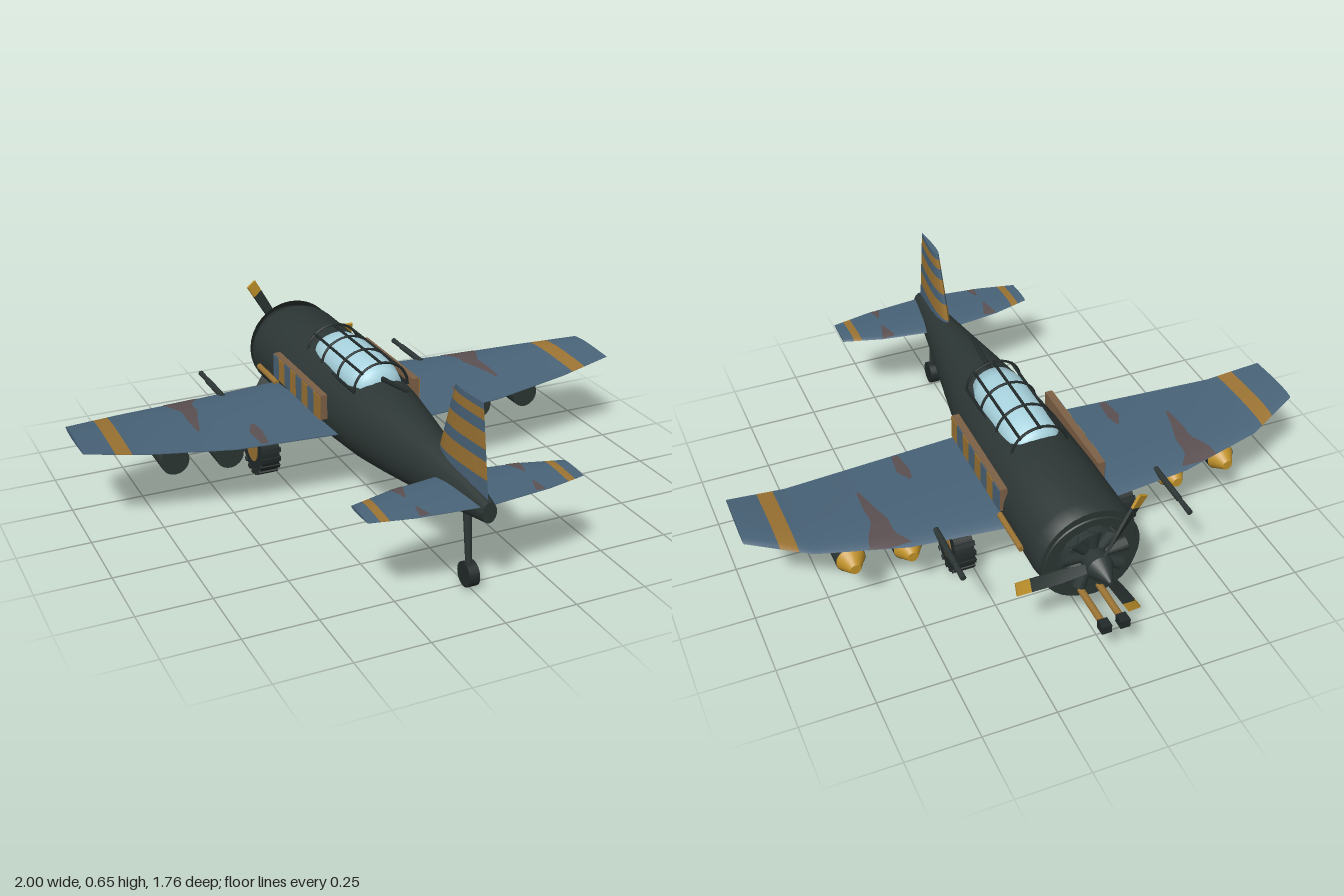
import * as THREE from 'three';
import { toCreasedNormals } from 'three/addons/utils/BufferGeometryUtils.js';

const mat = (name, color, extra = {}) => new THREE.MeshStandardMaterial({ name, color, ...extra });
const M = {
  dark: mat('dark hull', 0x2c3634),
  black: mat('black rubber', 0x222a29),
  blue: mat('slate blue', 0x496378),
  orange: mat('ochre stripe', 0x9b7333),
  yellow: mat('warning yellow', 0xc0922a),
  brown: mat('camouflage brown', 0x5b5052, { side: THREE.DoubleSide }),
  wood: mat('copper brown', 0x7d6046),
  glass: mat('pale glass', 0xa8d3df),
};

// Skin a closed solid over rings of [x, y, z]; the winding follows the signed volume
function loft(rings, crease = 0.7) {
  const n = rings[0].length, pos = rings.flat(2), idx = [];
  for (let r = 0; r < rings.length - 1; r++)
    for (let i = 0; i < n; i++) {
      const a = r * n + i, b = r * n + (i + 1) % n;
      idx.push(a, b, b + n, a, b + n, a + n);
    }
  [0, rings.length - 1].forEach((r) => {
    const c = pos.length / 3;
    for (let k = 0; k < 3; k++) pos.push(rings[r].reduce((s, p) => s + p[k], 0) / n);
    for (let i = 0; i < n; i++) {
      const a = r * n + i, b = r * n + (i + 1) % n;
      r ? idx.push(a, b, c) : idx.push(b, a, c);
    }
  });
  const v = (i) => new THREE.Vector3(pos[3 * i], pos[3 * i + 1], pos[3 * i + 2]);
  let volume = 0;
  for (let i = 0; i < idx.length; i += 3) volume += v(idx[i]).dot(v(idx[i + 1]).cross(v(idx[i + 2])));
  if (volume < 0) idx.reverse();
  const g = new THREE.BufferGeometry();
  g.setAttribute('position', new THREE.Float32BufferAttribute(pos, 3));
  g.setIndex(idx);
  return toCreasedNormals(g, crease);
}

// Elliptical sections: [z, top y, bottom y, half width]
const ellipses = (rows, n = 32) => rows.map(([z, top, bot, rx]) => Array.from({ length: n }, (_, i) => {
  const a = i / n * Math.PI * 2;
  return [Math.cos(a) * rx, (top + bot) / 2 + Math.sin(a) * (top - bot) / 2, z];
}));

// Aerofoil stations: [span, leading z, trailing z, centre, thickness]
const WING = [[0.1, -0.44, 0.085, 0.261, 0.05], [0.5, -0.4, 0.055, 0.264, 0.034],
  [0.8, -0.335, 0.01, 0.286, 0.025], [1, -0.24, -0.01, 0.32, 0.02]];
const TAIL = [[0.02, 0.625, 0.867, 0.332, 0.024], [0.23, 0.655, 0.845, 0.332, 0.018], [0.37, 0.695, 0.815, 0.332, 0.012]];
const FIN = [[0.31, 0.523, 0.872, 0, 0.045], [0.65, 0.65, 0.82, 0, 0.02]];
const FOIL = [[0, 0], [0.03, 0.4], [0.1, 0.75], [0.28, 1], [0.5, 0.88], [0.75, 0.52], [1, 0.08]];

function sample(table, s) {
  let i = 0;
  while (i < table.length - 2 && s > table[i + 1][0]) i++;
  const t = (s - table[i][0]) / (table[i + 1][0] - table[i][0]);
  return table[i].map((v, k) => v + (table[i + 1][k] - v) * t);
}
function foilRing(table, s, place) {
  const [, lead, trail, c, th] = sample(table, s);
  const at = (sign) => ([t, f]) => place(s, c + sign * f * th / 2, lead + (trail - lead) * t);
  return [...FOIL.map(at(1)), ...FOIL.slice(1).reverse().map(at(-1))];
}

export function createModel() {
  const root = new THREE.Group();
  root.name = 'propellerPlane';
  const add = (name, geo, m, p = [0, 0, 0], parent = root) => {
    const mesh = new THREE.Mesh(geo, m);
    mesh.name = name;
    mesh.position.set(...p);
    parent.add(mesh);
    return mesh;
  };
  const box = (name, size, m, p, parent) => add(name, new THREE.BoxGeometry(...size), m, p, parent);
  // Round bar between two points
  const rod = (name, a, b, r, m, r2 = r, sides = 14) => {
    const A = new THREE.Vector3(...a), B = new THREE.Vector3(...b), d = B.clone().sub(A);
    const mesh = add(name, new THREE.CylinderGeometry(r2, r, d.length(), sides), m);
    mesh.position.copy(A).add(B).multiplyScalar(0.5);
    mesh.quaternion.setFromUnitVectors(new THREE.Vector3(0, 1, 0), d.normalize());
    return mesh;
  };
  // Flying surface cut into coloured bands along its span
  const surface = (name, table, bands, place) => bands.forEach(([a, b, m]) => {
    const stops = [a, ...table.map((r) => r[0]).filter((s) => s > a && s < b), b];
    add(name, loft(stops.map((s) => foilRing(table, s, place))), m);
  });
  // Camouflage patch lying on a surface; rows are [z, inner x, outer x]
  const patch = (table, rows, side) => {
    const nu = 6, steps = 12, g = new THREE.PlaneGeometry(1, 1, nu, steps), p = g.attributes.position;
    const keyed = rows.map(([z, a, b]) => [z, a, b]);
    for (let i = 0; i < p.count; i++) {
      const z0 = rows[0][0], z1 = rows[rows.length - 1][0];
      const [z, a, b] = sample(keyed, z0 + (z1 - z0) * (0.5 - p.getY(i)));
      const x = a + (b - a) * (p.getX(i) + 0.5);
      const [, lead, trail, c, th] = sample(table, x);
      const t = THREE.MathUtils.clamp((z - lead) / (trail - lead), 0, 1);
      p.setXYZ(i, side * x, c + sample(FOIL, t)[1] * th / 2 + 0.002, lead + (trail - lead) * t);
    }
    g.computeVertexNormals();
    if (g.attributes.normal.getY(40) < 0) { g.index.array.reverse(); g.computeVertexNormals(); }
    add('camouflagePatch', g, M.brown);
  };

  // Fuselage and cowling
  add('fuselage', loft(ellipses([[0.88, 0.35, 0.28, 0.025], [0.75, 0.378, 0.252, 0.047], [0.55, 0.408, 0.215, 0.077],
    [0.3, 0.44, 0.178, 0.12], [0.15, 0.455, 0.16, 0.144], [-0.1, 0.465, 0.15, 0.168], [-0.35, 0.47, 0.139, 0.178],
    [-0.62, 0.47, 0.135, 0.18], [-0.66, 0.46, 0.143, 0.173], [-0.69, 0.445, 0.155, 0.158]])), M.dark);
  const lip = add('cowlLip', new THREE.LatheGeometry([[0.115, 0], [0.115, 0.035], [0.14, 0.035], [0.172, 0], [0.115, 0]]
    .map((p) => new THREE.Vector2(...p)), 32), M.dark, [0, 0.3, -0.685]);
  lip.geometry = toCreasedNormals(lip.geometry, 0.5);
  lip.material = M.dark;
  lip.rotation.x = -Math.PI / 2;

  // Radial engine
  for (let i = 0; i < 9; i++) {
    const a = i / 9 * Math.PI * 2 + 0.2, c = Math.cos(a), s = Math.sin(a);
    rod('engineCylinder', [c * 0.03, 0.3 + s * 0.03, -0.695], [c * 0.118, 0.3 + s * 0.118, -0.695], 0.016, M.dark, 0.024, 10);
  }

  // Propeller: spinner and three twisted blades with yellow tips
  rod('spinnerBase', [0, 0.3, -0.69], [0, 0.3, -0.755], 0.045, M.dark, 0.045, 20);
  rod('spinner', [0, 0.3, -0.755], [0, 0.3, -0.83], 0.045, M.dark, 0.006, 20);
  for (let i = 0; i < 3; i++) {
    const blade = new THREE.Group();
    blade.name = 'propellerBlade';
    blade.position.set(0, 0.3, -0.742);
    blade.rotation.z = i * Math.PI * 2 / 3;
    root.add(blade);
    const part = (name, x0, x1, m) => {
      const g = new THREE.BoxGeometry(x1 - x0, 0.042, 0.009, 6, 1, 1).translate((x0 + x1) / 2, 0, 0);
      const p = g.attributes.position;
      for (let k = 0; k < p.count; k++) {
        const x = p.getX(k), t = 0.9 - 2 * x, y = p.getY(k) * Math.min(1, 0.5 + x * 4), z = p.getZ(k);
        p.setXYZ(k, x, y * Math.cos(t) - z * Math.sin(t), y * Math.sin(t) + z * Math.cos(t));
      }
      g.computeVertexNormals();
      add(name, g, m, [0, 0, 0], blade);
    };
    part('blade', 0.02, 0.232, M.dark);
    part('bladeTip', 0.232, 0.28, M.yellow);
  }

  // Canopy glass and frame
  add('canopyGlass', loft(ellipses([[0.138, 0.465, 0.38, 0.05], [0.12, 0.49, 0.36, 0.078], [0.06, 0.505, 0.34, 0.094],
    [-0.02, 0.512, 0.34, 0.097], [-0.18, 0.512, 0.34, 0.097], [-0.24, 0.502, 0.34, 0.092],
    [-0.272, 0.485, 0.36, 0.078], [-0.288, 0.46, 0.38, 0.05]], 28), 1.2), M.glass);
  [0.12, -0.015, -0.15, -0.28].forEach((z) =>
    add('canopyHoop', new THREE.TorusGeometry(0.1, 0.005, 6, 24, Math.PI), M.black, [0, 0.425, z]).scale.set(1, 0.9, 1));
  [0, 0.25, 0.5, 0.75, 1].forEach((f) => {
    const x = Math.cos(f * Math.PI) * 0.1, y = 0.425 + Math.sin(f * Math.PI) * 0.09;
    rod('canopyRail', [x, y, 0.125], [x, y, -0.285], 0.005, M.black, 0.005, 6);
  });
  rod('rearGun', [0, 0.46, 0.12], [0, 0.49, 0.32], 0.009, M.black, 0.006);

  // Striped fin
  const cuts = [0.31, 0.412, 0.47, 0.507, 0.56, 0.597, 0.63, 0.65];
  surface('tailFin', FIN, cuts.slice(1).map((c, i) => [cuts[i], c, i % 2 ? M.orange : M.blue]), (s, o, z) => [o, s, z]);

  // Chin guns
  [-0.032, 0.032].forEach((x) => {
    rod('chinGun', [x, 0.16, -0.6], [x, 0.16, -0.85], 0.012, M.orange);
    box('chinGunMuzzle', [0.034, 0.03, 0.038], M.black, [x, 0.16, -0.864]);
  });

  for (const s of [1, -1]) {
    const place = (x, y, z) => [s * x, y, z];
    // Wings and tailplane
    surface('wing', WING, [[0.1, 0.842, M.blue], [0.842, 0.897, M.orange], [0.897, 1, M.blue]], place);
    surface('tailplane', TAIL, [[0.02, 0.305, M.blue], [0.305, 0.333, M.orange], [0.333, 0.37, M.blue]], place);
    patch(WING, [[-0.385, 0.49, 0.63], [-0.33, 0.53, 0.62], [-0.26, 0.53, 0.585], [-0.2, 0.55, 0.59], [-0.1, 0.575, 0.585]], s);
    patch(WING, [[-0.09, 0.385, 0.395], [-0.04, 0.375, 0.42], [0.055, 0.385, 0.41]], s);
    patch(TAIL, [[0.655, 0.18, 0.23], [0.73, 0.205, 0.21]], s);
    patch(TAIL, [[0.79, 0.2, 0.205], [0.845, 0.18, 0.215]], s);

    // Striped side panel
    box('sidePanelFrame', [0.025, 0.09, 0.43], M.wood, [s * 0.175, 0.35, -0.178]);
    for (let i = 0; i < 8; i++)
      box('sidePanelStripe', [0.004, 0.086, 0.0535], i % 2 ? M.blue : M.orange, [s * 0.189, 0.349, 0.01 - i * 0.0535]);

    // Exhaust pipe and wing gun
    rod('exhaustPipe', [s * 0.183, 0.28, -0.38], [s * 0.183, 0.28, -0.56], 0.011, M.orange);
    rod('wingGun', [s * 0.4, 0.272, -0.36], [s * 0.4, 0.272, -0.53], 0.011, M.dark);
    rod('wingGunMuzzle', [s * 0.4, 0.272, -0.53], [s * 0.4, 0.272, -0.605], 0.008, M.dark, 0.01);

    // Bombs
    [[0.485, 0.192], [0.68, 0.207]].forEach(([x, y]) => {
      rod('bombBody', [s * x, y, -0.06], [s * x, y, -0.32], 0.05, M.dark, 0.05, 24);
      rod('bombNose', [s * x, y, -0.32], [s * x, y, -0.372], 0.049, M.yellow, 0.018, 24);
      box('bombPylon', [0.02, 0.04, 0.14], M.dark, [s * x, y + 0.055, -0.19]);
    });

    // Main wheel with tread, hub and struts
    const w = [s * 0.298, 0.105, -0.26];
    rod('mainTyre', [w[0] - 0.033, w[1], w[2]], [w[0] + 0.033, w[1], w[2]], 0.1, M.black, 0.1, 28);
    rod('wheelHub', [w[0] - 0.036, w[1], w[2]], [w[0] + 0.036, w[1], w[2]], 0.054, M.orange, 0.054, 20);
    for (let i = 0; i < 18; i++) {
      const a = i / 18 * Math.PI * 2;
      box('tyreTread', [0.074, 0.012, 0.016], M.black,
        [w[0], w[1] + Math.cos(a) * 0.099, w[2] + Math.sin(a) * 0.099]).rotation.x = a;
    }
    box('wheelMount', [0.035, 0.06, 0.04], M.dark, [w[0], 0.222, w[2]]);
    rod('landingStrut', [s * 0.18, 0.255, -0.26], [s * 0.265, 0.105, -0.26], 0.013, M.orange);
  }

  // Tail wheel
  rod('tailStrut', [0, 0.28, 0.742], [0, 0.05, 0.765], 0.015, M.dark, 0.01);
  rod('tailWheel', [-0.018, 0.046, 0.765], [0.018, 0.046, 0.765], 0.042, M.black, 0.042, 20);

  return root;
}
